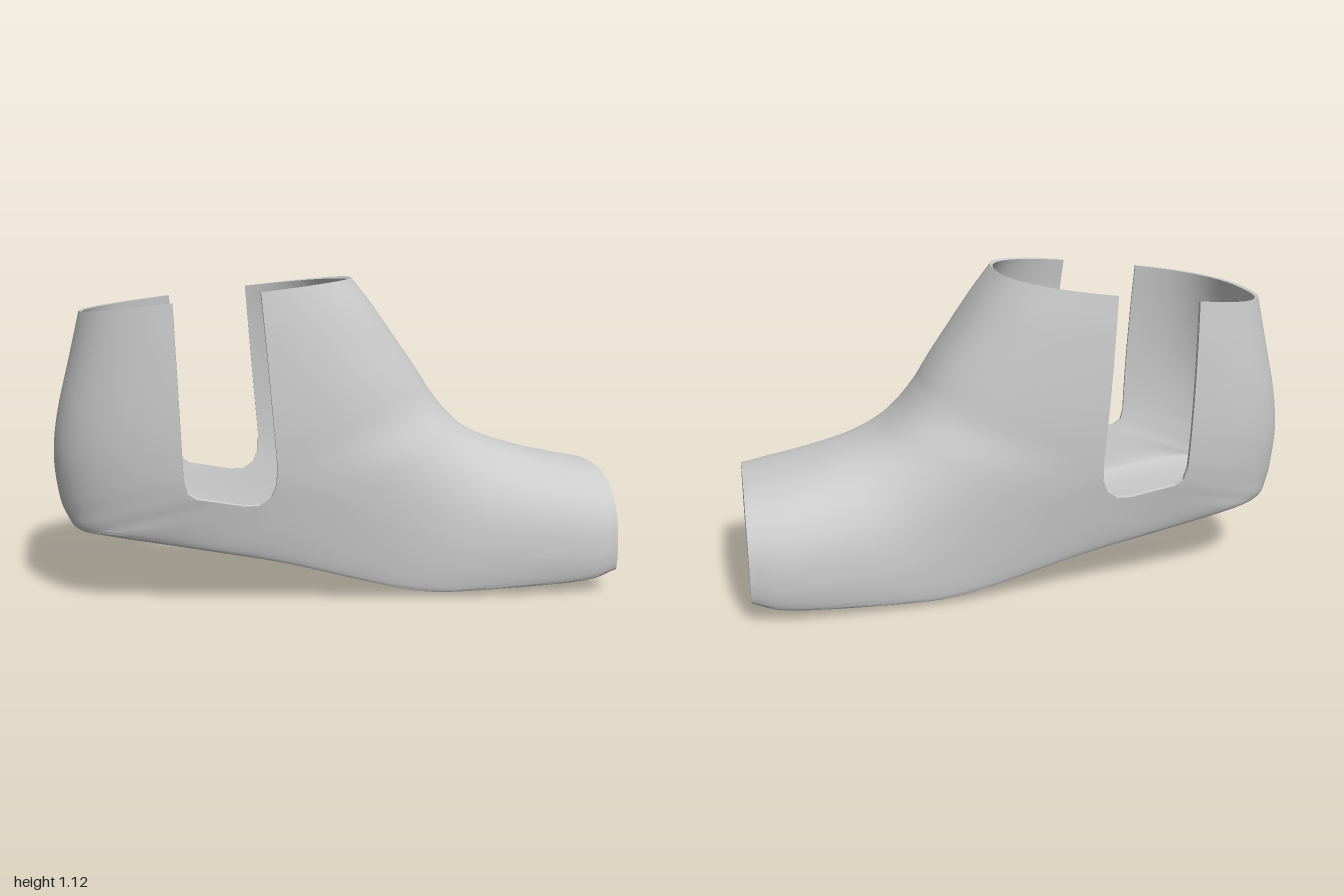
import * as THREE from 'three';
import { mergeVertices, toCreasedNormals } from 'three/addons/utils/BufferGeometryUtils.js';

const THICKNESS = 0.013;
const V = (x, y, z) => new THREE.Vector3(x, y, z);

// Sections from ankle opening to toe opening:
// instep x, y | heel/sole x, y | half width, flat half width of the sole, place of the widest point
const SECTIONS = [
  [0.075, 1.125, -0.90, 1.01, 0.362, 0, 0.5],
  [0.15, 1.03, -0.94, 0.84, 0.376, 0, 0.5],
  [0.235, 0.91, -0.985, 0.65, 0.386, 0, 0.5],
  [0.295, 0.825, -1.0, 0.5, 0.39, 0.02, 0.5],
  [0.335, 0.765, -0.985, 0.37, 0.39, 0.05, 0.5],
  [0.36, 0.725, -0.96, 0.30, 0.388, 0.1, 0.5],
  [0.385, 0.692, -0.91, 0.243, 0.385, 0.18, 0.5],
  [0.41, 0.66, -0.78, 0.224, 0.381, 0.28, 0.5],
  [0.45, 0.617, -0.5, 0.18, 0.374, 0.32, 0.5],
  [0.505, 0.572, -0.2, 0.123, 0.366, 0.33, 0.54],
  [0.57, 0.538, 0.1, 0.045, 0.361, 0.335, 0.6],
  [0.64, 0.511, 0.32, 0.003, 0.365, 0.345, 0.65],
  [0.76, 0.476, 0.6, 0.01, 0.378, 0.36, 0.7],
  [0.88, 0.449, 0.88, 0.028, 0.382, 0.362, 0.74],
  [1.0, 0.425, 1.0, 0.06, 0.36, 0.345, 0.74],
];

// Side slot, a convex outline seen from the side, open at the top
const SLOT = [
  [-0.587, 1.3], [-0.548, 0.45], [-0.535, 0.405], [-0.505, 0.385], [-0.34, 0.356],
  [-0.29, 0.358], [-0.25, 0.385], [-0.232, 0.43], [-0.23, 0.5], [-0.297, 1.3],
];

// Half of one section, from the instep down the side and across the sole
function halfSection(a, b, [w, flat, m]) {
  const pts = [], N = 12, n = 2.6;
  const nb = THREE.MathUtils.lerp(2.6, 1.5, Math.min(1, flat / 0.33));
  const raise = 0.02 * Math.min(1, flat / 0.3);
  const put = (s, z) => {
    const p = a.clone().lerp(b, s);
    if (s > m) p.y += raise * ((s - m) / (1 - m)) ** 2;
    pts.push(V(p.x, p.y, z));
  };
  const pw = (v, e) => Math.pow(Math.max(0, v), 2 / e);
  for (let i = 0; i < N; i++) {
    const t = (i / N) * Math.PI / 2;
    put(m * (1 - pw(Math.cos(t), n)), w * pw(Math.sin(t), n));
  }
  for (let i = 0; i <= N; i++) {
    const t = (i / N) * Math.PI / 2;
    const c = i === N ? 0 : Math.cos(t);
    put(m + (1 - m) * pw(Math.sin(t), nb), flat + (w - flat) * pw(c, nb));
  }
  for (const f of [0.7, 0.35, 0]) pts.push(V(b.x, b.y, flat * f));
  return pts;
}

// Closed surface of the outer skin, before the slots
function outerSkin() {
  const curve = (f) => new THREE.CatmullRomCurve3(SECTIONS.map(f), false, 'catmullrom', 0.5);
  const instep = curve((s) => V(s[0], s[1], 0));
  const back = curve((s) => V(s[2], s[3], 0));
  const form = curve((s) => V(s[4], s[5], s[6]));
  const steps = (SECTIONS.length - 1) * 4, pos = [], idx = [];
  let cols = 0;
  for (let i = 0; i <= steps; i++) {
    const t = i / steps, f = form.getPoint(t);
    const half = halfSection(instep.getPoint(t), back.getPoint(t), [f.x, Math.max(0, f.y), f.z]);
    const mirrored = half.slice(1, -1).reverse().map((p) => V(p.x, p.y, -p.z));
    const ring = [...half, ...mirrored];
    cols = ring.length;
    for (const p of ring) pos.push(p.x, p.y, p.z);
  }
  for (let i = 0; i < steps; i++) {
    for (let j = 0; j < cols; j++) {
      const k = (j + 1) % cols;
      const a = i * cols + j, b = i * cols + k, c = b + cols, d = a + cols;
      idx.push(a, b, d, b, c, d);
    }
  }
  let geo = new THREE.BufferGeometry();
  geo.setAttribute('position', new THREE.Float32BufferAttribute(pos, 3));
  geo.setIndex(idx);
  geo = mergeVertices(geo, 1e-4);
  const id = geo.index.array, clean = [];
  for (let i = 0; i < id.length; i += 3) {
    const [a, b, c] = [id[i], id[i + 1], id[i + 2]];
    if (a !== b && b !== c && c !== a) clean.push(a, b, c);
  }
  geo.setIndex(clean);
  geo.computeVertexNormals();
  return geo;
}

const mix = (a, b, t) => ({
  p: a.p.clone().lerp(b.p, t), n: a.n.clone().lerp(b.n, t), s: a.s.clone().lerp(b.s, t),
});

// Split a polygon by a line in the side view into [inside, outside]
function split(poly, P, Q) {
  const side = (v) => (Q[0] - P[0]) * (v.p.y - P[1]) - (Q[1] - P[1]) * (v.p.x - P[0]);
  const inside = [], outside = [];
  poly.forEach((a, i) => {
    const b = poly[(i + 1) % poly.length], da = side(a), db = side(b);
    (da > 0 ? inside : outside).push(a);
    if ((da > 0) !== (db > 0)) {
      const c = mix(a, b, da / (da - db));
      inside.push(c);
      outside.push(c);
    }
  });
  return [inside, outside];
}

// Remove the slot from one triangle
function cutSlot(tri) {
  const kept = [];
  let rest = tri;
  for (let i = 0; i < SLOT.length && rest.length > 2; i++) {
    const [inside, outside] = split(rest, SLOT[i], SLOT[(i + 1) % SLOT.length]);
    if (outside.length > 2) kept.push(outside);
    rest = inside;
  }
  if (rest.length < 3) return [tri];
  return kept.flatMap((q) => q.slice(2).map((v, i) => [q[0], q[i + 1], v]));
}

function shellGeometry() {
  const skin = outerSkin();
  const offset = skin.toNonIndexed().attributes.normal;
  const smooth = toCreasedNormals(skin, 0.65).attributes;
  const at = (attr, i) => new THREE.Vector3().fromBufferAttribute(attr, i);
  const tris = [];
  for (let i = 0; i < offset.count; i += 3) {
    const tri = [i, i + 1, i + 2].map((k) => ({
      p: at(smooth.position, k), n: at(offset, k), s: at(smooth.normal, k),
    }));
    tris.push(...cutSlot(tri));
  }

  const pos = [], nor = [];
  const emit = (p, n) => { pos.push(p.x, p.y, p.z); nor.push(n.x, n.y, n.z); };
  const inner = (v) => v.p.clone().addScaledVector(v.n, -THICKNESS);
  const key = (v) => v.p.toArray().map((c) => Math.round(c * 1e4)).join();
  const edges = new Map();
  for (const t of tris) {
    // Outer and inner face
    t.forEach((v) => emit(v.p, v.s.clone().normalize()));
    [t[2], t[1], t[0]].forEach((v) => emit(inner(v), v.s.clone().normalize().negate()));
    t.forEach((v, i) => edges.set(key(v) + '|' + key(t[(i + 1) % 3]), [v, t[(i + 1) % 3]]));
  }
  // Rims around the ankle, the toes and the slots
  for (const [k, [a, b]] of edges) {
    if (edges.has(k.split('|').reverse().join('|'))) continue;
    const ia = inner(a), ib = inner(b);
    const n = a.p.clone().sub(b.p).cross(ia.clone().sub(b.p)).normalize();
    [b.p, a.p, ia, b.p, ia, ib].forEach((p) => emit(p, n));
  }
  const geo = new THREE.BufferGeometry();
  geo.setAttribute('position', new THREE.Float32BufferAttribute(pos, 3));
  geo.setAttribute('normal', new THREE.Float32BufferAttribute(nor, 3));
  return geo;
}

export function createModel() {
  const group = new THREE.Group();
  group.name = 'openToeAnkleShell';
  const shell = new THREE.Mesh(shellGeometry(), new THREE.MeshStandardMaterial({ color: 0xcccccc }));
  shell.name = 'footShell';
  group.add(shell);
  return group;
}
